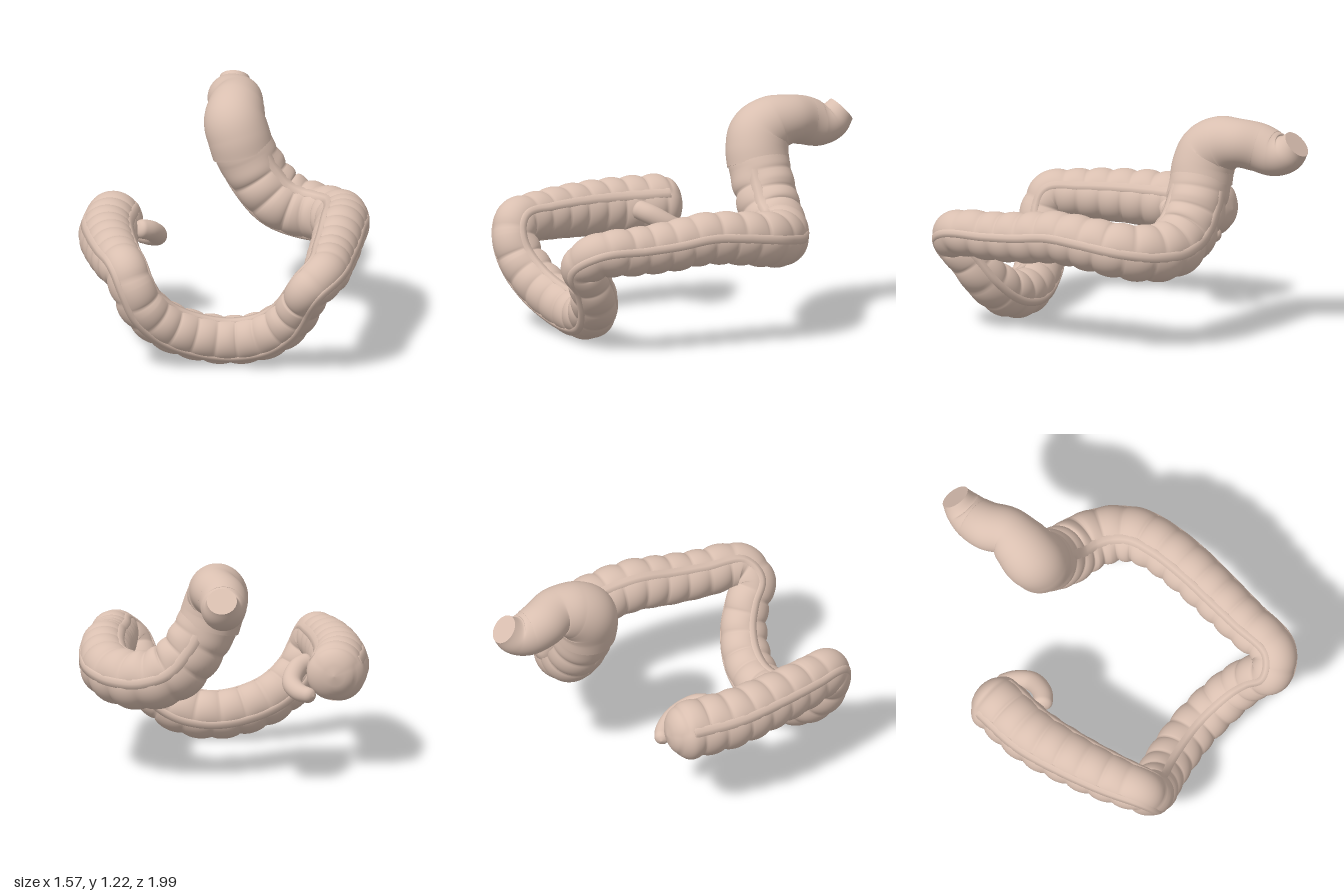
import * as THREE from 'three';

const material = new THREE.MeshStandardMaterial({ color: 0xd9bfb0 });

// Path through [x, y, z, radius] stations, sampled evenly by length
function makePath(stations, n) {
  const curve = new THREE.CatmullRomCurve3(stations.map(([x, y, z]) => new THREE.Vector3(x, y, z)));
  const radii = new THREE.SplineCurve(stations.map(s => new THREE.Vector2(s[3], 0)));
  curve.arcLengthDivisions = 800;
  const frames = curve.computeFrenetFrames(n, false);
  const length = curve.getLength();
  const rows = [];
  for (let i = 0; i <= n; i++) {
    rows.push({
      p: curve.getPointAt(i / n), N: frames.normals[i], B: frames.binormals[i],
      r: radii.getPoint(curve.getUtoTmapping(i / n)).x, s: length * i / n,
    });
  }
  return { rows, length };
}

const pointOn = (row, angle, r) => row.p.clone()
  .addScaledVector(row.N, Math.cos(angle) * r)
  .addScaledVector(row.B, Math.sin(angle) * r);

// Skin rings of points; rings wrap round and both ends get flat fans
function skin(rings) {
  const pos = [], index = [], m = rings[0].length;
  rings.forEach(ring => ring.forEach(p => pos.push(p.x, p.y, p.z)));
  for (let i = 0; i < rings.length - 1; i++) {
    for (let j = 0; j < m; j++) {
      const a = i * m + j, b = i * m + (j + 1) % m;
      index.push(a, b, a + m, b, b + m, a + m);
    }
  }
  [rings[0], rings[rings.length - 1]].forEach((ring, end) => {
    const base = pos.length / 3;
    const c = ring.reduce((sum, p) => sum.add(p), new THREE.Vector3()).divideScalar(m);
    [...ring, c].forEach(p => pos.push(p.x, p.y, p.z));
    for (let j = 0; j < m; j++) {
      const a = base + j, b = base + (j + 1) % m;
      index.push(...(end ? [a, b, base + m] : [b, a, base + m]));
    }
  });
  const g = new THREE.BufferGeometry();
  g.setAttribute('position', new THREE.Float32BufferAttribute(pos, 3));
  g.setIndex(index);
  g.computeVertexNormals();
  return g;
}

function sweep(path, sides, radiusAt) {
  return skin(path.rows.map(row => Array.from({ length: sides }, (_, j) => {
    const angle = j / sides * Math.PI * 2;
    return pointOn(row, angle, radiusAt(row, angle));
  })));
}

// Rounds an end over a distance d
const dome = (s, d) => s >= d ? 1 : Math.sqrt(Math.max(0.0004, 1 - (1 - s / d) ** 2));

function add(group, name, geometry) {
  const mesh = new THREE.Mesh(geometry, material);
  mesh.name = name;
  group.add(mesh);
}

export function createModel() {
  const group = new THREE.Group();
  group.name = 'largeIntestine';

  // Pouched bowel: blind pouch, ascending, transverse, descending, sigmoid;
  // its last stretch sits inside the rectum
  const bowel = makePath([
    [-0.59, 0.54, -0.28, 0.155], [-0.605, 0.54, -0.12, 0.16], [-0.625, 0.542, 0.1, 0.158],
    [-0.6, 0.55, 0.35, 0.148], [-0.55, 0.55, 0.6, 0.136], [-0.5, 0.54, 0.765, 0.124],
    [-0.465, 0.46, 0.795, 0.122], [-0.41, 0.345, 0.775, 0.128], [-0.285, 0.225, 0.725, 0.132],
    [-0.1, 0.15, 0.685, 0.132], [0.08, 0.13, 0.672, 0.132], [0.25, 0.17, 0.695, 0.132],
    [0.38, 0.27, 0.745, 0.127], [0.45, 0.39, 0.81, 0.12], [0.498, 0.488, 0.876, 0.118],
    [0.572, 0.55, 0.82, 0.125], [0.597, 0.56, 0.6, 0.132], [0.618, 0.575, 0.4, 0.138],
    [0.635, 0.6, 0.2, 0.142], [0.643, 0.585, 0, 0.145], [0.62, 0.56, -0.17, 0.15],
    [0.535, 0.54, -0.292, 0.156], [0.41, 0.545, -0.366, 0.163], [0.28, 0.597, -0.392, 0.168],
    [0.172, 0.72, -0.405, 0.168], [0.095, 0.86, -0.405, 0.166], [0.068, 0.93, -0.408, 0.162],
  ], 500);
  const pouch = 0.128, third = Math.PI * 2 / 3, bandStart = 0.05;
  const bowelRadius = (row, angle) => {
    // Three rows of pouches, staggered, pinched between bands
    const turn = ((angle - bandStart) / third + 6) % 3;
    const sector = Math.floor(turn);
    const across = Math.sin((turn - sector) * Math.PI);
    const along = Math.abs(Math.sin(Math.PI * (row.s / pouch + sector * 0.33)));
    const fade = THREE.MathUtils.smoothstep(bowel.length - row.s, 0.07, 0.22);
    const bulge = 0.945 + across ** 0.6 * (0.125 * along ** 0.6 - 0.04);
    return row.r * THREE.MathUtils.lerp(1, bulge, fade) * dome(row.s, 0.12);
  };
  add(group, 'pouchedBowel', sweep(bowel, 60, bowelRadius));

  // Three thin, flat muscle bands lying along the bowel
  for (let k = 0; k < 3; k++) {
    const angle = bandStart + k * third;
    const rings = bowel.rows.slice(12).map(row => {
      const r = row.r * 0.96 * dome(row.s, 0.12);
      return [[-0.2, -0.015], [-0.17, 0.003], [0, 0.004], [0.17, 0.003], [0.2, -0.015]]
        .map(([da, h]) => pointOn(row, angle + da, r + h));
    });
    add(group, 'muscleBand' + (k + 1), skin(rings));
  }

  // Smooth end section, cut flat at its outlet
  const rectum = makePath([
    [0.088, 0.857, -0.405, 0.17], [0.065, 0.935, -0.408, 0.17], [0.042, 1.01, -0.435, 0.168],
    [0.045, 1.063, -0.515, 0.155], [0.052, 1.08, -0.61, 0.133], [0.016, 1.06, -0.71, 0.132],
    [0.012, 1.032, -0.81, 0.122], [0.018, 1.045, -0.885, 0.105], [0.022, 1.1, -0.945, 0.081],
  ], 120);
  add(group, 'rectum', sweep(rectum, 48, row => row.r));

  // Small curled appendix, rooted in the blind pouch with its tip hanging lower
  const appendix = makePath([
    [-0.475, 0.56, 0.06, 0.052], [-0.4, 0.53, 0.0, 0.054], [-0.365, 0.47, -0.1, 0.053],
    [-0.405, 0.435, -0.19, 0.048], [-0.485, 0.425, -0.255, 0.04],
  ], 60);
  add(group, 'appendix', sweep(appendix, 24,
    row => row.r * dome(row.s, 0.04) * dome(appendix.length - row.s, 0.04)));

  return group;
}
